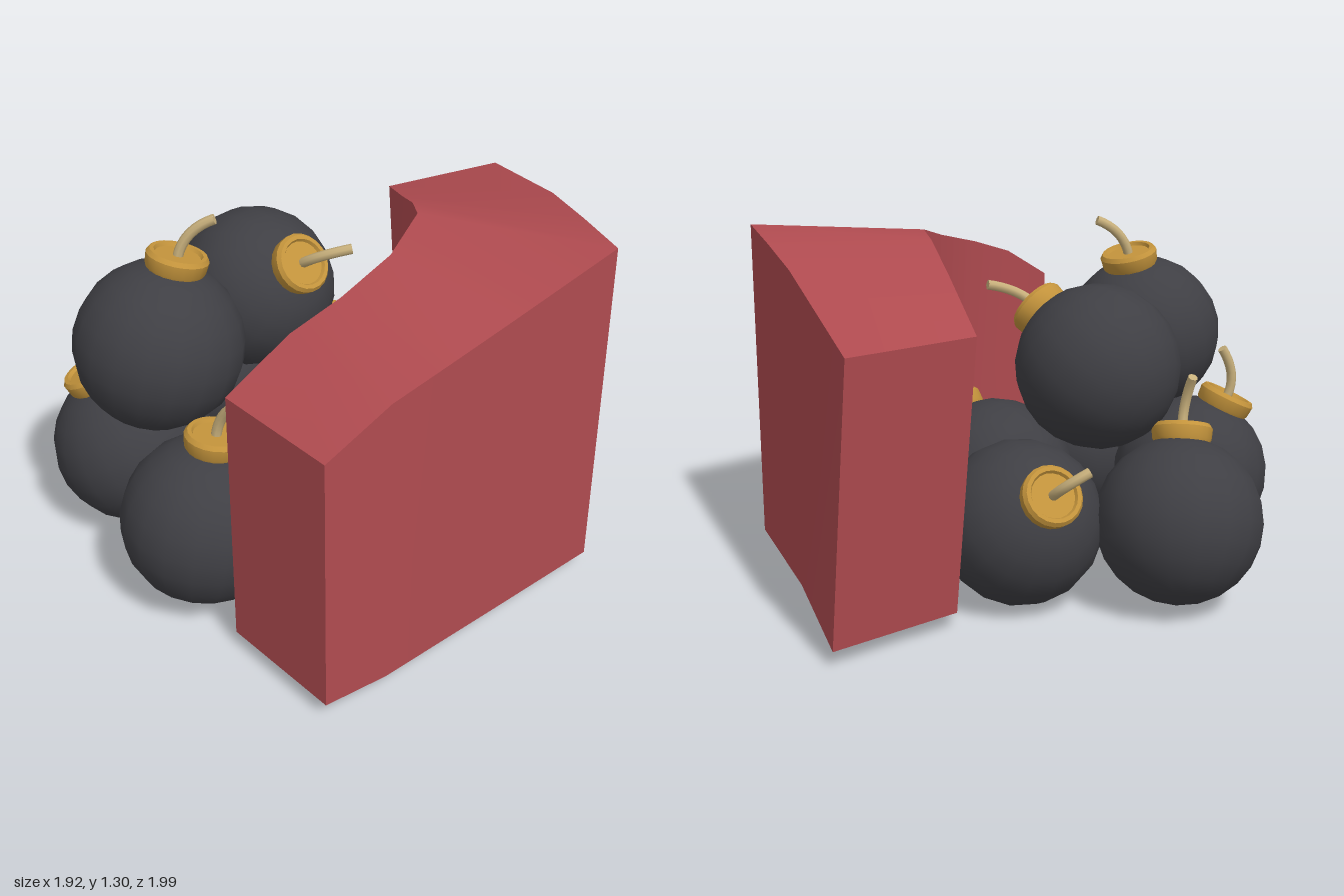
import * as THREE from 'three';
import { toCreasedNormals } from 'three/addons/utils/BufferGeometryUtils.js';

const mat = (name, color) => {
  const m = new THREE.MeshStandardMaterial({ color });
  m.name = name;
  return m;
};
const V = (x, y, z) => new THREE.Vector3(x, y, z);

const R = 0.295; // ball radius

// centre of the ball, direction of its cap, free end of its fuse
const BOMBS = [
  { at: [-0.67, 0.315, 0.17], dir: [0.07, 0.28, 0.10], end: [-0.625, 0.80, 0.29] },
  { at: [-0.36, 0.315, 0.67], dir: [-0.08, 0.27, 0.10], end: [-0.435, 0.80, 0.75] },
  { at: [0.20, 0.315, 0.705], dir: [0.01, 0.30, -0.045], end: [0.30, 0.785, 0.62] },
  { at: [0.16, 0.315, 0.125], dir: [0.19, 0.23, -0.015], end: [0.41, 0.67, 0.10] },
  { at: [-0.315, 0.815, 0.145], dir: [0.25, 0.18, -0.03], end: [0.085, 1.08, 0.0] },
  { at: [-0.12, 0.835, 0.665], dir: [0.015, 0.30, -0.08], end: [-0.035, 1.28, 0.475] },
  { at: [-0.235, 0.295, -0.175], dir: [-0.22, 0.16, -0.10], end: [-0.60, 0.57, -0.24] },
];

// wall stations from the front end round to the back end:
// outer x, z, top y, inner x, z, top y, sideways shift of the foot
const WALL = [
  [0.95, 0.75, 0.97, 0.50, 0.79, 0.98, 0],
  [0.96, 0.52, 1.09, 0.48, 0.54, 1.105, 0],
  [0.942, 0.27, 1.135, 0.475, 0.34, 1.165, 0],
  [0.925, 0.03, 1.18, 0.42, 0.10, 1.22, 0],
  [0.89, -0.44, 1.27, 0.31, -0.10, 1.27, 0],
  [0.62, -0.57, 1.235, 0.20, -0.17, 1.25, 0],
  [0.33, -0.71, 1.19, 0.0, -0.29, 1.17, 0],
  [-0.28, -1.0, 1.03, -0.35, -0.51, 1.03, 0.1],
];

function wallGeometry() {
  const foot = 0.06;
  const rings = WALL.map(([ox, oz, oy, ix, iz, iy, s]) => [
    V(ox + s, foot, oz), V(ox, oy, oz), V(ix, iy, iz), V(ix + s, foot, iz),
  ]);
  const pts = [];
  const quad = (a, b, c, d) => pts.push(a, b, c, a, c, d);
  for (let i = 0; i < rings.length - 1; i++) {
    for (let j = 0; j < 4; j++) {
      const k = (j + 1) % 4;
      quad(rings[i][j], rings[i + 1][j], rings[i + 1][k], rings[i][k]);
    }
  }
  quad(...rings[0]);
  quad(...rings[rings.length - 1].slice().reverse());
  return toCreasedNormals(new THREE.BufferGeometry().setFromPoints(pts), 0.5);
}

export function createModel() {
  const model = new THREE.Group();
  model.name = 'bombPile';
  const red = mat('red', 0xb04b50);
  const black = mat('charcoal', 0x3f3f44);
  const brass = mat('brass', 0xc4943c);
  const cord = mat('cord', 0xc8b07c);

  const wall = new THREE.Mesh(wallGeometry(), red);
  wall.name = 'curvedWall';
  model.add(wall);

  // shared ball and cap with a raised rim
  const ballGeo = new THREE.SphereGeometry(R, 18, 12);
  const capProfile = [
    [0.088, 0.26], [0.104, 0.285], [0.108, 0.325], [0.098, 0.34], [0.084, 0.34], [0.078, 0.328], [0, 0.328],
  ].map(([r, y]) => new THREE.Vector2(r, y));
  const capGeo = toCreasedNormals(new THREE.LatheGeometry(capProfile, 20), 0.6);

  BOMBS.forEach(({ at, dir, end }, i) => {
    const bomb = new THREE.Group();
    bomb.name = `bomb${i + 1}`;
    bomb.position.set(...at);
    const axis = V(...dir).normalize();
    const turn = new THREE.Quaternion().setFromUnitVectors(V(0, 1, 0), axis);

    const add = (name, geo, material) => {
      const mesh = new THREE.Mesh(geo, material);
      mesh.name = name;
      bomb.add(mesh);
      return mesh;
    };
    add('ball', ballGeo, black).quaternion.copy(turn);
    add('cap', capGeo, brass).quaternion.copy(turn);

    // fuse leaves along the cap axis, then bends to its free end
    const tip = V(...end).sub(bomb.position);
    const curve = new THREE.QuadraticBezierCurve3(
      axis.clone().multiplyScalar(0.32), axis.clone().multiplyScalar(0.42), tip);
    add('fuse', new THREE.TubeGeometry(curve, 8, 0.018, 8), cord);
    const fuseEnd = add('fuseEnd', new THREE.CircleGeometry(0.018, 8), cord);
    fuseEnd.position.copy(tip);
    fuseEnd.quaternion.setFromUnitVectors(V(0, 0, 1), curve.getTangent(1));
    model.add(bomb);
  });
  return model;
}
